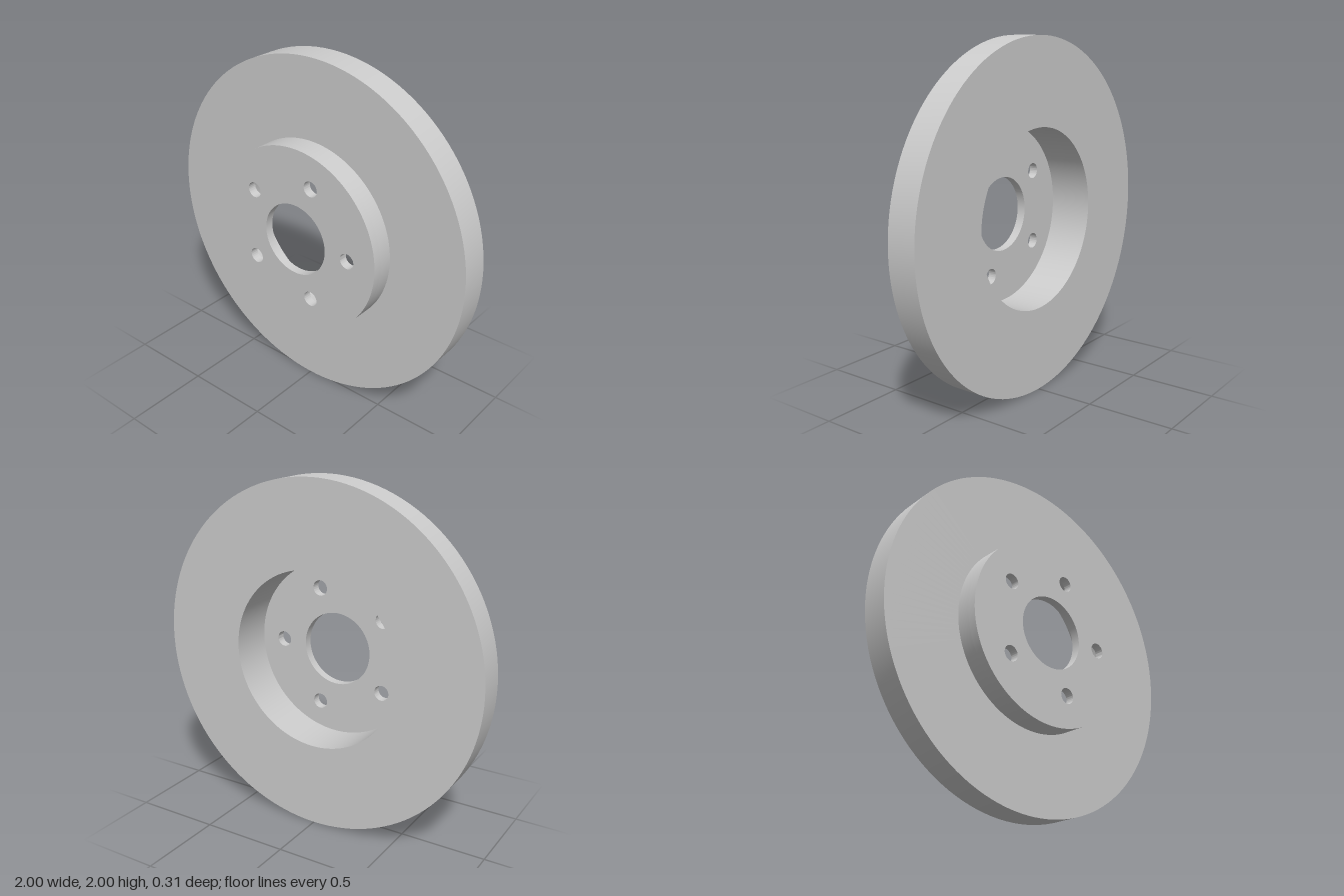
import * as THREE from 'three';
import { toCreasedNormals } from 'three/addons/utils/BufferGeometryUtils.js';

const RIM = 1, HAT = 0.544, CAVITY = 0.511, BORE = 0.213;
const BOLT_CIRCLE = 0.362, BOLT_HOLE = 0.045, BOLTS = 5;
const BACK = -0.153, STEP = 0.017, FLOOR = 0.102, FRONT = 0.153;

function circle(Type, x, y, r) {
  const path = new Type();
  path.absarc(x, y, r, 0, Math.PI * 2, false);
  return path;
}

export function createModel() {
  const group = new THREE.Group();
  group.name = 'brakeDisc';
  const material = new THREE.MeshStandardMaterial({ color: 0xcccccc });

  const add = (name, geometry) => {
    const mesh = new THREE.Mesh(toCreasedNormals(geometry, 0.5), material);
    mesh.name = name;
    mesh.position.y = RIM;
    group.add(mesh);
  };

  // Friction ring and hat wall: one profile turned about the z axis,
  // from the cavity floor round the back and rim to the hat's side
  const profile = [
    [CAVITY, FLOOR], [CAVITY, BACK], [RIM, BACK],
    [RIM, STEP], [HAT, STEP], [HAT, FLOOR],
  ].map(([r, z]) => new THREE.Vector2(r, z));
  add('frictionRingAndHatWall', new THREE.LatheGeometry(profile, 128).rotateX(Math.PI / 2));

  // Mounting plate with centre bore and bolt holes
  const plate = circle(THREE.Shape, 0, 0, HAT);
  plate.holes.push(circle(THREE.Path, 0, 0, BORE));
  for (let i = 0; i < BOLTS; i++) {
    const a = (i / BOLTS) * Math.PI * 2;
    plate.holes.push(circle(THREE.Path, BOLT_CIRCLE * Math.cos(a), BOLT_CIRCLE * Math.sin(a), BOLT_HOLE));
  }
  const plateGeometry = new THREE.ExtrudeGeometry(plate, {
    depth: FRONT - FLOOR, bevelEnabled: false, curveSegments: 64,
  });
  add('mountingPlate', plateGeometry.translate(0, 0, FLOOR));

  return group;
}
